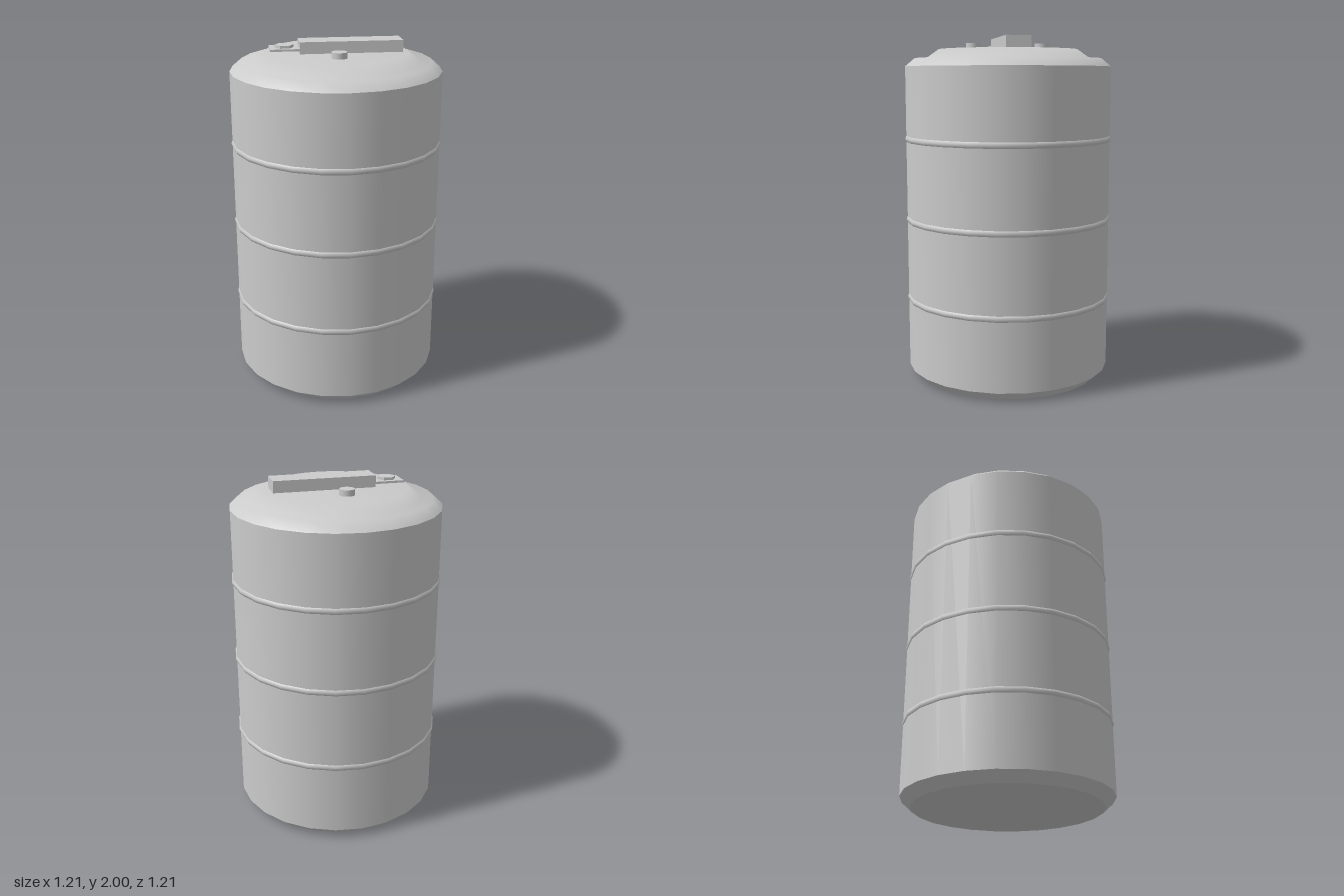
import * as THREE from 'three';

const SIDES = 24;

export function createModel() {
  const group = new THREE.Group();
  group.name = 'barrel';
  const material = new THREE.MeshStandardMaterial({ color: 0xcccccc });

  function add(name, geometry, x = 0, y = 0, z = 0) {
    const mesh = new THREE.Mesh(geometry, material);
    mesh.name = name;
    mesh.position.set(x, y, z);
    group.add(mesh);
    return mesh;
  }

  // Revolved surface; separate calls keep the edge between them sharp
  function revolve(name, points) {
    return add(name, new THREE.LatheGeometry(points.map(([r, y]) => new THREE.Vector2(r, y)), SIDES));
  }

  // Shell: base, lower bevel, wall and smooth lid with a raised centre
  revolve('base', [[0, 0], [0.54, 0]]);
  revolve('lowerBevel', [[0.54, 0], [0.6, 0.055]]);
  revolve('wall', [[0.6, 0.055], [0.6, 1.835]]);
  revolve('lid', [[0.6, 1.835], [0.545, 1.882], [0.475, 1.884], [0.405, 1.934], [0, 1.934]]);

  // Rolled hoops around the wall
  for (const y of [0.475, 0.945, 1.418]) {
    add('hoop', new THREE.TorusGeometry(0.582, 0.025, 8, SIDES), 0, y, 0).rotation.x = Math.PI / 2;
  }

  // Handle bar with its thin mounting plate and hexagonal bolt
  add('handleBar', new THREE.BoxGeometry(0.58, 0.07, 0.14), 0.08, 1.965, 0);
  add('mountingPlate', new THREE.BoxGeometry(0.165, 0.012, 0.14), -0.2925, 1.957, 0);
  const bolt = new THREE.CylinderGeometry(0.053, 0.053, 0.016, 6).toNonIndexed();
  bolt.computeVertexNormals();
  bolt.rotateY(Math.PI / 6);
  add('hexBolt', bolt, -0.292, 1.97, 0);

  // Round plugs on either side of the handle
  for (const side of [-1, 1]) {
    add('plug', new THREE.CylinderGeometry(0.043, 0.043, 0.04, 20), -0.008, 1.948, side * 0.203);
  }

  return group;
}
